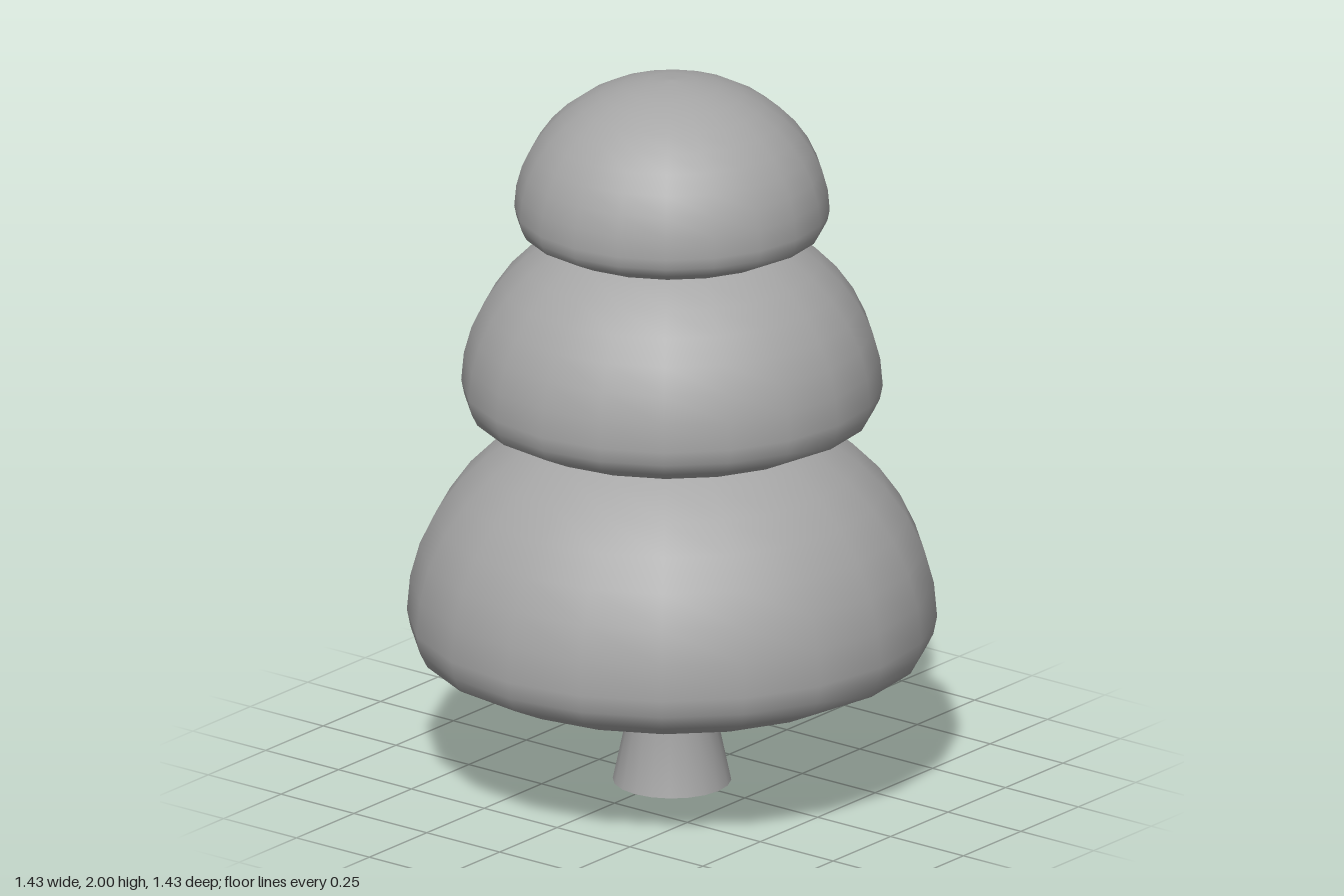
import * as THREE from 'three';

const SIDES = 20;

// Smooth turned solid from [radius, height] pairs listed from the bottom up
function turned(name, profile, material) {
  const points = profile.map(([r, y]) => new THREE.Vector2(r, y));
  const mesh = new THREE.Mesh(new THREE.LatheGeometry(points, SIDES), material);
  mesh.name = name;
  return mesh;
}

// Bulging foliage dome with a shallow bowl underneath, at full size
function domeProfile() {
  const profile = [[0, 0], [0.2, 0.01], [0.4, 0.035], [0.57, 0.08], [0.685, 0.135], [0.705, 0.175]];
  const steps = 10;
  for (let i = 0; i <= steps; i++) {
    const a = (i / steps) * Math.PI / 2;
    profile.push([i === steps ? 0 : 0.715 * Math.cos(a), 0.225 + 0.615 * Math.sin(a)]);
  }
  return profile;
}

export function createModel() {
  const tree = new THREE.Group();
  tree.name = 'tree';
  const grey = new THREE.MeshStandardMaterial({ color: 0xa6a6a6 });
  grey.name = 'matte grey';

  // Trunk flaring at the foot, closed by a flat base
  tree.add(turned('trunk', [[0.16, 0], [0.128, 0.15], [0.128, 0.3]], grey));
  const base = new THREE.Mesh(new THREE.CircleGeometry(0.16, SIDES), grey);
  base.name = 'trunkBase';
  base.rotation.x = Math.PI / 2;
  tree.add(base);

  // Three foliage tiers shrinking upwards: name, bottom height, scale
  const tiers = [['lowerFoliage', 0.25, 1], ['middleFoliage', 0.955, 0.795], ['upperFoliage', 1.5, 0.595]];
  for (const [name, y, s] of tiers) {
    const profile = domeProfile().map(([r, h]) => [r * s, y + h * s]);
    tree.add(turned(name, profile, grey));
  }
  return tree;
}
